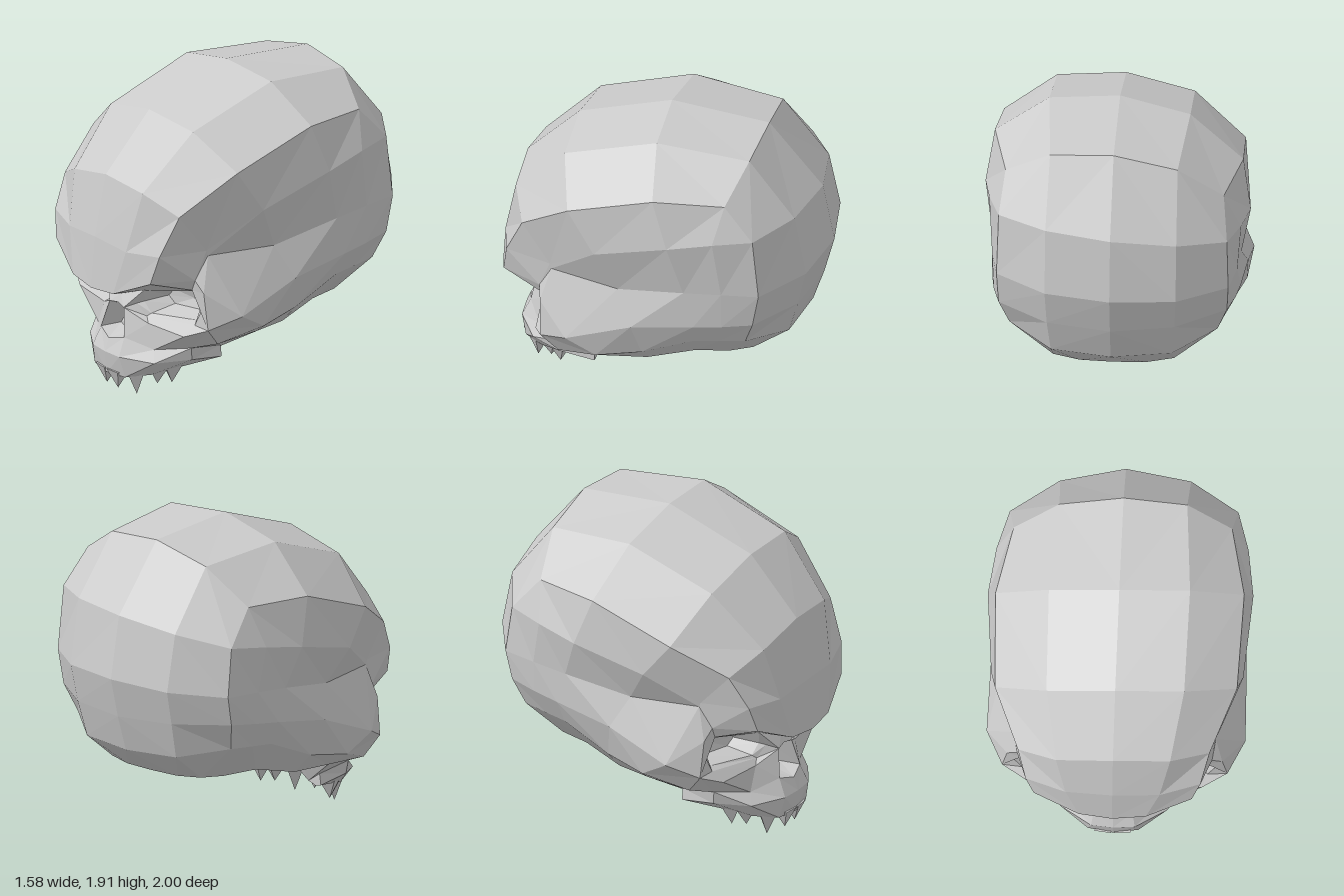
import * as THREE from 'three';

const material = new THREE.MeshStandardMaterial({ color: 0xcccccc, flatShading: true, side: THREE.DoubleSide });

// The dome leans slightly to one side near the top
const lean = ([x, y, z]) => [x, y + 0.1 * x * THREE.MathUtils.clamp((y - 0.9) / 0.5, 0, 1), z];

// Mesh from faces of 3 or 4 corners on the +x half, mirrored to -x
function mirroredMesh(name, faces) {
  const positions = [];
  const tri = (a, b, c) => {
    const [p, q, r] = [a, b, c].map((v) => new THREE.Vector3(...v));
    if (q.sub(p).cross(r.sub(p)).length() < 1e-7) return;
    positions.push(...lean(a), ...lean(b), ...lean(c));
  };
  const flip = ([x, y, z]) => [-x, y, z];
  for (const face of faces) {
    const mirror = face.map(flip);
    for (let i = 1; i < face.length - 1; i++) {
      tri(face[0], face[i], face[i + 1]);
      tri(mirror[0], mirror[i + 1], mirror[i]);
    }
  }
  const geometry = new THREE.BufferGeometry();
  geometry.setAttribute('position', new THREE.Float32BufferAttribute(positions, 3));
  geometry.computeVertexNormals();
  const mesh = new THREE.Mesh(geometry, material);
  mesh.name = name;
  return mesh;
}

// Quads between successive rows of points
function grid(rows) {
  const faces = [];
  for (let r = 0; r < rows.length - 1; r++) {
    for (let c = 0; c < rows[r].length - 1; c++) {
      faces.push([rows[r][c], rows[r][c + 1], rows[r + 1][c + 1], rows[r + 1][c]]);
    }
  }
  return faces;
}

// Dome rows from brow over the crown to the nape: middle, mid-side, edge
const dome = [
  [[0, 0.68, 1], [0.2, 0.7, 0.985], [0.47, 0.83, 0.91]],
  [[0, 1, 0.97], [0.28, 0.98, 0.95], [0.52, 1.0, 0.88]],
  [[0, 1.38, 0.89], [0.34, 1.33, 0.87], [0.57, 1.22, 0.77]],
  [[0, 1.72, 0.57], [0.41, 1.66, 0.55], [0.72, 1.44, 0.45]],
  [[0, 1.91, 0], [0.42, 1.85, -0.02], [0.74, 1.62, -0.08]],
  [[0, 1.86, -0.6], [0.38, 1.8, -0.58], [0.65, 1.61, -0.5]],
  [[0, 1.46, -0.93], [0.39, 1.44, -0.86], [0.68, 1.4, -0.68]],
  [[0, 1.08, -1], [0.39, 1.07, -0.93], [0.69, 1.06, -0.72]],
  [[0, 0.84, -0.94], [0.38, 0.85, -0.88], [0.68, 0.86, -0.68]],
  [[0, 0.62, -0.87], [0.36, 0.63, -0.82], [0.62, 0.69, -0.62]],
  [[0, 0.45, -0.65], [0.2, 0.45, -0.64], [0.36, 0.46, -0.6]],
];
const edge = dome.map((row) => row[2]);

// Shared corners of the face
const browEnd = [0.58, 0.83, 0.66];
const temple = [0.64, 0.76, 0.64];
const cheekSide = [0.77, 0.61, 0.45];
const cheekMid = [0.67, 0.53, 0.63];
const cheekFront = [0.52, 0.46, 0.7];
const cheekInner = [0.22, 0.46, 0.74];
const cheekLow = [0.63, 0.41, 0.53];
const jawFront = [0.28, 0.31, 0.74];
const jawSide = [0.45, 0.34, 0.59];
const jawBack = [0.43, 0.3, 0.36];
const noseBridge = [0, 0.59, 0.78];
const noseTop = [0, 0.54, 0.8];
const noseUpper = [0.07, 0.53, 0.81];
const noseLower = [0.115, 0.36, 0.84];
const noseBase = [0, 0.33, 0.87];

// Side rows from the dome edge down to the lower rim, front to back
const rim = [cheekLow, [0.62, 0.42, 0.23], [0.56, 0.41, 0], [0.5, 0.47, -0.27], [0.43, 0.46, -0.48], edge[10]];
const sides = [
  edge.slice(1, 7),
  [edge[1], [0.6, 1.0, 0.59], [0.75, 1.2, 0.28], [0.79, 1.33, -0.18], [0.75, 1.38, -0.45], edge[6]],
  [browEnd, [0.6, 0.97, 0.58], [0.68, 0.96, 0.15], [0.74, 1.04, -0.27], [0.73, 1.06, -0.5], edge[7]],
  [temple, cheekSide, [0.76, 0.76, 0.05], [0.74, 0.82, -0.33], [0.72, 0.84, -0.5], edge[8]],
  [cheekMid, [0.74, 0.5, 0.27], [0.69, 0.54, 0], [0.67, 0.67, -0.32], [0.65, 0.68, -0.46], edge[9]],
  rim,
];

// Eye socket loops, from the rim inwards
const eyeRim = [[0.18, 0.66, 0.74], [0.55, 0.76, 0.66], [0.6, 0.63, 0.63], [0.55, 0.53, 0.64], [0.18, 0.49, 0.72], [0.12, 0.56, 0.75]];
const eyeLip = [[0.18, 0.65, 0.71], [0.53, 0.74, 0.63], [0.55, 0.63, 0.6], [0.53, 0.55, 0.61], [0.2, 0.51, 0.7], [0.14, 0.57, 0.71]];
const eyeBack = [[0.21, 0.63, 0.54], [0.51, 0.7, 0.5], [0.52, 0.63, 0.5], [0.5, 0.57, 0.5], [0.22, 0.54, 0.54], [0.17, 0.58, 0.55]];
const eyeCentre = eyeBack.map(() => [0.36, 0.61, 0.5]);
const closed = (loop) => [...loop, loop[0]];
const [eyeTop, eyeOuterTop, eyeOuter, eyeOuterLow, eyeInnerLow, eyeInner] = eyeRim;

// Upper jaw rows, middle to back end
const palate = [[0, 0.3, 0.74], [0.08, 0.3, 0.73], [0.14, 0.3, 0.66], [0.18, 0.32, 0.56], [0.2, 0.34, 0.36]];
const gumInner = [[0, 0.14, 0.78], [0.11, 0.14, 0.77], [0.18, 0.15, 0.68], [0.24, 0.18, 0.56], [0.34, 0.24, 0.36]];
const gumOuter = [[0, 0.11, 0.88], [0.15, 0.12, 0.86], [0.25, 0.14, 0.74], [0.31, 0.17, 0.6], [0.4, 0.22, 0.36]];
const jawMiddle = [[0, 0.25, 0.9], [0.13, 0.25, 0.89], [0.32, 0.24, 0.77], [0.44, 0.26, 0.58], [0.44, 0.23, 0.36]];
const jawTop = [noseBase, noseLower, jawFront, jawSide, jawBack];

// Hollow underside rows, back to front: middle, inner, rim
const base = [
  [dome[10][0], dome[10][1], rim[5]],
  [[0, 0.56, -0.48], [0.26, 0.55, -0.46], rim[4]],
  [[0, 0.62, -0.25], [0.3, 0.59, -0.26], rim[3]],
  [[0, 0.6, 0], [0.34, 0.56, 0], rim[2]],
  [[0, 0.5, 0.2], [0.34, 0.48, 0.25], rim[1]],
  [[0, 0.34, 0.36], palate[4], gumInner[4]],
];

// Teeth: x, tip height, z, gum height and turn along the arch
const teeth = [
  [0.055, 0.02, 0.84, 0.14, 0.1],
  [0.16, 0, 0.78, 0.15, 0.8],
  [0.23, 0.065, 0.68, 0.17, 1.1],
  [0.28, 0.07, 0.61, 0.19, 1.2],
];

export function createModel() {
  const group = new THREE.Group();
  group.name = 'skull';

  group.add(mirroredMesh('craniumDome', grid(dome)));
  group.add(mirroredMesh('craniumSides', [...grid([...sides].reverse()), [edge[0], browEnd, edge[1]]]));
  group.add(mirroredMesh('craniumBase', grid(base)));

  group.add(mirroredMesh('browUnderside', [
    ...grid([[noseBridge, eyeTop, eyeOuterTop], dome[0]]),
    [eyeOuterTop, browEnd, edge[0]],
  ]));

  group.add(mirroredMesh('eyeSockets', grid([eyeCentre, eyeBack, eyeLip, eyeRim].map(closed))));

  group.add(mirroredMesh('cheekbones', [
    [cheekInner, cheekFront, eyeOuterLow, eyeInnerLow],
    [cheekFront, cheekMid, eyeOuterLow],
    [cheekMid, eyeOuter, eyeOuterLow],
    [cheekMid, temple, eyeOuterTop, eyeOuter],
    [eyeOuterTop, temple, browEnd],
    [jawFront, jawSide, cheekFront, cheekInner],
    [jawSide, cheekLow, cheekMid, cheekFront],
    [jawSide, jawBack, rim[1], cheekLow],
  ]));

  // Nose bone around a recessed opening
  const noseBack = [[0, 0.49, 0.68], [0.04, 0.48, 0.68], [0.075, 0.37, 0.72], [0, 0.36, 0.74]];
  const noseCentre = noseBack.map(() => [0, 0.41, 0.74]);
  group.add(mirroredMesh('nose', [
    [noseUpper, eyeInner, eyeTop, noseBridge],
    [noseUpper, cheekInner, eyeInnerLow, eyeInner],
    [noseLower, cheekInner, noseUpper],
    [noseLower, jawFront, cheekInner],
    [noseTop, noseUpper, noseBridge],
    ...grid([noseCentre, noseBack, [noseTop, noseUpper, noseLower, noseBase]]),
  ]));

  const palateMiddle = palate.map((p) => [0, p[1], p[2]]);
  group.add(mirroredMesh('upperJaw', [
    ...grid([palateMiddle, palate, gumInner, gumOuter, jawMiddle, jawTop]),
    [jawBack, jawMiddle[4], gumOuter[4], gumInner[4]],
    [jawBack, gumInner[4], rim[1]],
  ]));

  // Pointed four-sided teeth
  for (const side of [-1, 1]) {
    for (const [x, tip, z, gum, turn] of teeth) {
      const tooth = new THREE.Mesh(new THREE.ConeGeometry(0.07, gum - tip, 4, 1, false, Math.PI / 4), material);
      tooth.name = 'tooth';
      tooth.rotation.set(Math.PI, -side * turn, 0);
      tooth.position.set(side * x, (tip + gum) / 2, z);
      group.add(tooth);
    }
  }
  return group;
}
